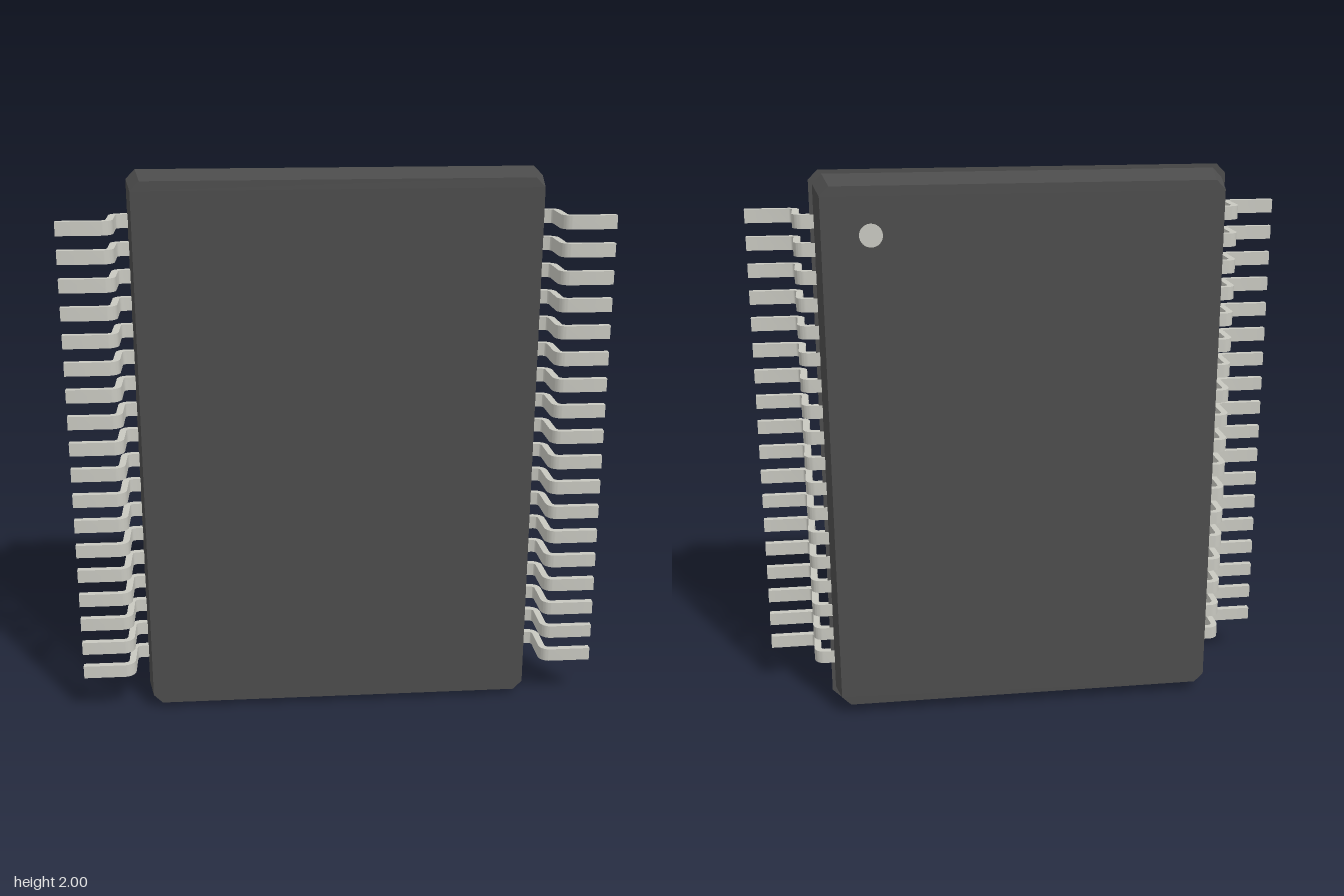
import * as THREE from 'three';
import { ConvexGeometry } from 'three/addons/geometries/ConvexGeometry.js';
import { toCreasedNormals } from 'three/addons/utils/BufferGeometryUtils.js';

const SEAM_Z = -0.018;
const FRONT_Z = 0.133;
const BACK_Z = -0.156;

// Corner-cut rectangle at depth z, centred on y = 1
function octagon(hx, hy, z, cut = 0.033) {
  const points = [];
  for (const sx of [-1, 1]) {
    for (const sy of [-1, 1]) {
      points.push(new THREE.Vector3(sx * (hx - cut), 1 + sy * hy, z));
      points.push(new THREE.Vector3(sx * hx, 1 + sy * (hy - cut), z));
    }
  }
  return points;
}

// Gull-wing lead: constant-thickness strip with rounded bends, extruded to its width
function leadGeometry() {
  const t = 0.024, inner = 0.016, outer = inner + t;
  const x0 = 0.68, xIn = 0.766, xOut = xIn + t, xTip = 0.957;
  const zTop = -0.022, zFoot = 0.157, width = 0.048;
  const s = new THREE.Shape();
  s.moveTo(x0, zTop);
  s.lineTo(xOut - outer, zTop);
  s.absarc(xOut - outer, zTop + outer, outer, -Math.PI / 2, 0, false);
  s.lineTo(xOut, zFoot - outer);
  s.absarc(xOut + inner, zFoot - outer, inner, Math.PI, Math.PI / 2, true);
  s.lineTo(xTip, zFoot - t);
  s.lineTo(xTip, zFoot);
  s.lineTo(xIn + outer, zFoot);
  s.absarc(xIn + outer, zFoot - outer, outer, Math.PI / 2, Math.PI, false);
  s.lineTo(xIn, zTop + outer);
  s.absarc(xIn - inner, zTop + outer, inner, 0, -Math.PI / 2, true);
  s.lineTo(x0, zTop + t);
  s.closePath();
  const g = new THREE.ExtrudeGeometry(s, { depth: width, bevelEnabled: false, curveSegments: 6 });
  g.translate(0, 0, -width / 2);
  g.rotateX(Math.PI / 2);
  return toCreasedNormals(g, 0.6);
}

export function createModel() {
  const model = new THREE.Group();
  model.name = 'chipPackage';
  const plastic = new THREE.MeshStandardMaterial({ color: 0x4c4c4c });
  const metal = new THREE.MeshStandardMaterial({ color: 0xc8c8c0 });

  const add = (name, geometry, material, parent = model) => {
    const mesh = new THREE.Mesh(geometry, material);
    mesh.name = name;
    parent.add(mesh);
    return mesh;
  };

  // Two tapered body halves, the back one slightly smaller at the seam
  add('frontBody', new ConvexGeometry([
    ...octagon(0.728, 1.0, SEAM_Z), ...octagon(0.705, 0.977, FRONT_Z)]), plastic);
  add('backBody', new ConvexGeometry([
    ...octagon(0.715, 0.986, SEAM_Z), ...octagon(0.692, 0.96, BACK_Z)]), plastic);

  // Round pin-one marker on the back face
  const marker = add('pinOneMarker', new THREE.CylinderGeometry(0.04, 0.04, 0.004, 32), metal);
  marker.rotation.x = Math.PI / 2;
  marker.position.set(0.525, 1.795, BACK_Z);

  // Rows of leads on both sides
  const lead = leadGeometry();
  for (const [name, turn] of [['leftLeads', 0], ['rightLeads', Math.PI]]) {
    const row = new THREE.Group();
    row.name = name;
    for (let i = 0; i < 18; i++) {
      const mesh = add('lead', lead, metal, row);
      mesh.position.y = 1 + (i - 8.5) * 0.0971;
      mesh.rotation.z = turn;
    }
    model.add(row);
  }
  return model;
}
